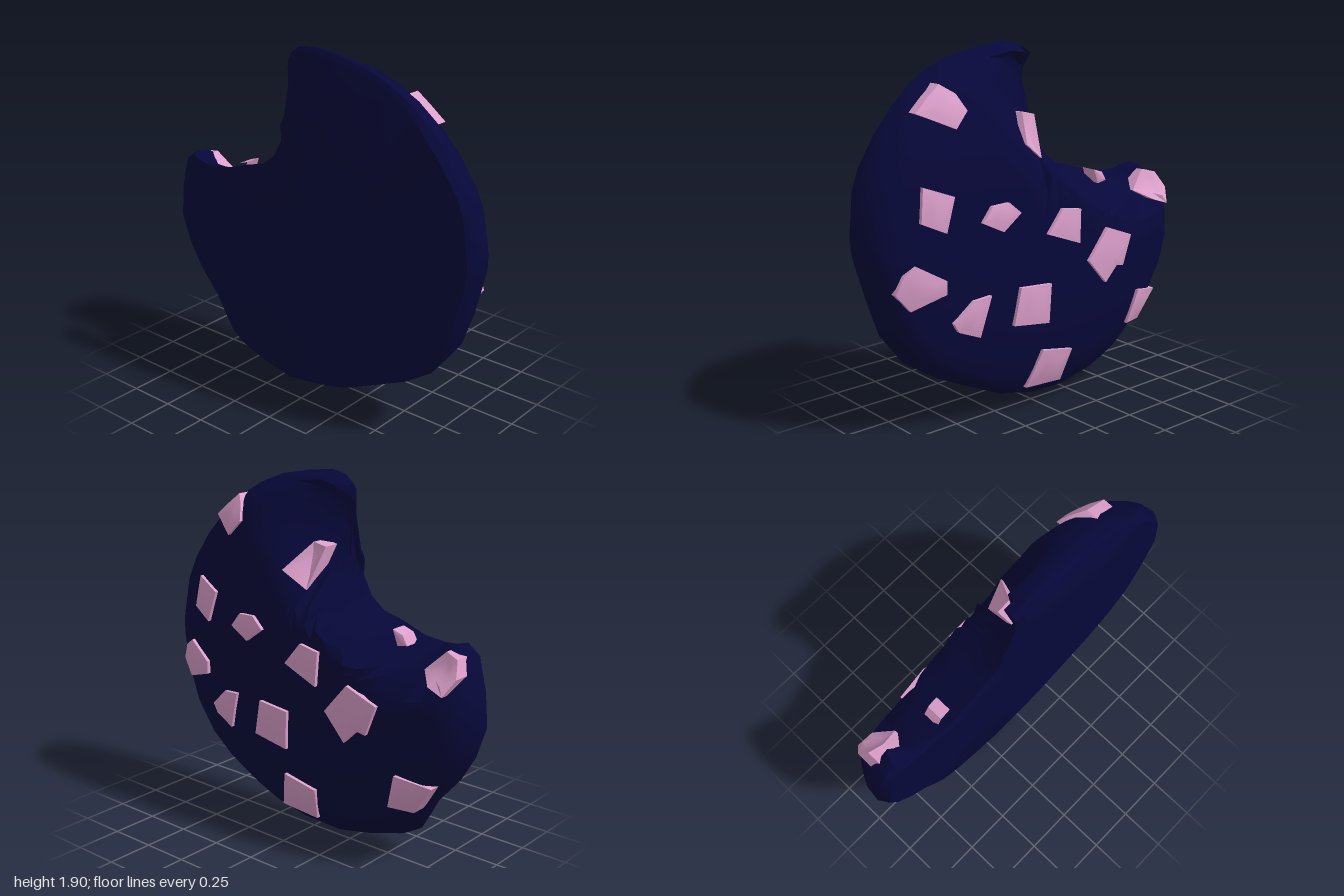
import * as THREE from 'three';
import { toCreasedNormals } from 'three/addons/utils/BufferGeometryUtils.js';

const { clamp, lerp, smoothstep } = THREE.MathUtils;

// Flat underside of the cookie, slightly tilted
const backX = (z, y) => -0.175 - 0.035 * (y - 0.95) - 0.02 * z;

// How much of the full thickness the bite leaves: a long slope on its upper
// side, a steep one below, with a raised tip and a thick lobe at its ends
function biteFactor(z, y) {
  const d = Math.hypot(z + 0.65, y - 1.65);
  const a = clamp((1.65 - y) / 0.5, 0, 1);
  const slope = clamp((d - lerp(0.57, 0.49, a)) / lerp(0.4, 0.2, a), 0, 1);
  const tip = 0.7 * smoothstep(y, 1.8, 1.85);
  const lobe = 0.65 * smoothstep(-z, 0.68, 0.88);
  return Math.max(slope, tip, lobe, 0.04);
}

// Domed front above the flat back
function thickness(z, y) {
  const r = Math.min(1, Math.hypot(z / 1.1, (y - 0.95) / 0.96));
  return (0.08 + 0.265 * Math.sqrt(1 - r ** 3) - 0.01 * z) * biteFactor(z, y);
}
const surfaceX = (z, y) => backX(z, y) + thickness(z, y);

// Skin a [z, y] outline scaled about a centre; each ring is [scale, xFunction]
function loft(outline, centre, rings, crease) {
  const n = outline.length, pos = [], index = [];
  for (const [t, fx] of rings) {
    for (const p of outline) {
      const z = centre[0] + (p[0] - centre[0]) * t;
      const y = centre[1] + (p[1] - centre[1]) * t;
      pos.push(fx(z, y), y, z);
    }
  }
  for (let k = 0; k < rings.length - 1; k++) {
    for (let i = 0; i < n; i++) {
      const j = (i + 1) % n;
      const a = k * n + i, b = k * n + j, c = b + n, d = a + n;
      if (rings[k + 1][0] > 0) index.push(a, d, c);
      if (rings[k][0] > 0) index.push(a, c, b);
    }
  }
  const g = new THREE.BufferGeometry();
  g.setAttribute('position', new THREE.Float32BufferAttribute(pos, 3));
  g.setIndex(index);
  return toCreasedNormals(g, crease);
}

// Cookie outline as [z, y], with the bite at the upper back
const OUTLINE = [
  [0.04, 1.905], [-0.05, 1.89], [-0.11, 1.85], [-0.11, 1.78], [-0.11, 1.7],
  [-0.15, 1.52], [-0.18, 1.47], [-0.175, 1.39], [-0.24, 1.29], [-0.32, 1.23],
  [-0.43, 1.2], [-0.58, 1.15], [-0.7, 1.14], [-0.79, 1.15], [-0.86, 1.17],
  [-0.93, 1.12], [-0.98, 0.95], [-1, 0.78], [-0.95, 0.62], [-0.87, 0.48],
  [-0.75, 0.34], [-0.7, 0.25], [-0.63, 0.14], [-0.53, 0.08], [-0.4, 0.04],
  [-0.2, 0], [0, 0.02], [0.2, 0.07], [0.35, 0.14], [0.58, 0.25],
  [0.74, 0.36], [0.87, 0.53], [0.92, 0.68], [0.99, 0.93], [1, 1.03],
  [0.97, 1.27], [0.93, 1.37], [0.83, 1.52], [0.73, 1.635], [0.61, 1.74],
  [0.5, 1.805], [0.38, 1.85], [0.2, 1.885],
];

// Chunk outlines as [z, y]
const CHUNKS = [
  [[0.7, 1.62], [0.62, 1.69], [0.55, 1.745], [0.49, 1.7], [0.455, 1.62], [0.53, 1.54]],
  [[0.12, 1.42], [0.03, 1.555], [-0.05, 1.54], [-0.01, 1.33]],
  [[0.74, 1.29], [0.585, 1.23], [0.64, 1.06], [0.765, 1.12]],
  [[0.44, 1.08], [0.38, 1.155], [0.28, 1.16], [0.21, 1.1], [0.32, 1.02]],
  [[0.04, 0.96], [-0.06, 1.08], [-0.18, 1.06], [-0.17, 0.88]],
  [[-0.235, 0.77], [-0.37, 0.93], [-0.55, 0.86], [-0.49, 0.7], [-0.44, 0.71], [-0.36, 0.63]],
  [[0.9, 0.79], [0.86, 0.88], [0.8, 0.92], [0.65, 0.83], [0.65, 0.76], [0.83, 0.7]],
  [[0.61, 0.6], [0.5, 0.7], [0.4, 0.71], [0.46, 0.5], [0.58, 0.55]],
  [[0.22, 0.715], [0.025, 0.7], [0.035, 0.49], [0.26, 0.52]],
  [[0.06, 0.34], [-0.145, 0.3], [-0.115, 0.115], [0.125, 0.13]],
  [[-0.645, 0.52], [-0.83, 0.48], [-0.72, 0.32], [-0.59, 0.33]],
  [[-0.72, 1.05], [-0.82, 1.15], [-0.9, 1.13], [-0.93, 1.05], [-0.89, 0.97], [-0.8, 1.0]],
  [[-0.48, 1.19], [-0.54, 1.17], [-0.57, 1.12], [-0.51, 1.11]],
];

export function createModel() {
  const group = new THREE.Group();
  group.name = 'bittenCookie';
  const dough = new THREE.MeshStandardMaterial({ color: 0x07083a });
  const candy = new THREE.MeshStandardMaterial({ color: 0xdda0cc });

  // Cookie body: flat back, rounded rim, domed front
  const part = f => (z, y) => backX(z, y) + f * thickness(z, y);
  const rings = [
    [0, backX], [0.5, backX], [0.97, backX], [1, part(0.25)], [0.99, part(0.65)],
    [0.96, part(0.88)],
    ...[0.92, 0.87, 0.81, 0.73, 0.63, 0.5, 0.36, 0.2, 0].map(t => [t, surfaceX]),
  ];
  const body = new THREE.Mesh(loft(OUTLINE, [0.1, 0.8], rings, 0.8), dough);
  body.name = 'cookieBody';
  group.add(body);

  // Chunks set into the front, following its curve
  const chunks = new THREE.Group();
  chunks.name = 'chunks';
  const raised = h => (z, y) => Math.max(surfaceX(z, y), -0.05) + h;
  CHUNKS.forEach((outline, i) => {
    const centre = [0, 1].map(k => outline.reduce((s, p) => s + p[k], 0) / outline.length);
    const layers = [[1, raised(-0.07)], [1, raised(0.02)], [0.5, raised(0.026)], [0, raised(0.028)]];
    const chunk = new THREE.Mesh(loft(outline, centre, layers, 0.6), candy);
    chunk.name = `chunk${i + 1}`;
    chunks.add(chunk);
  });
  group.add(chunks);
  return group;
}
